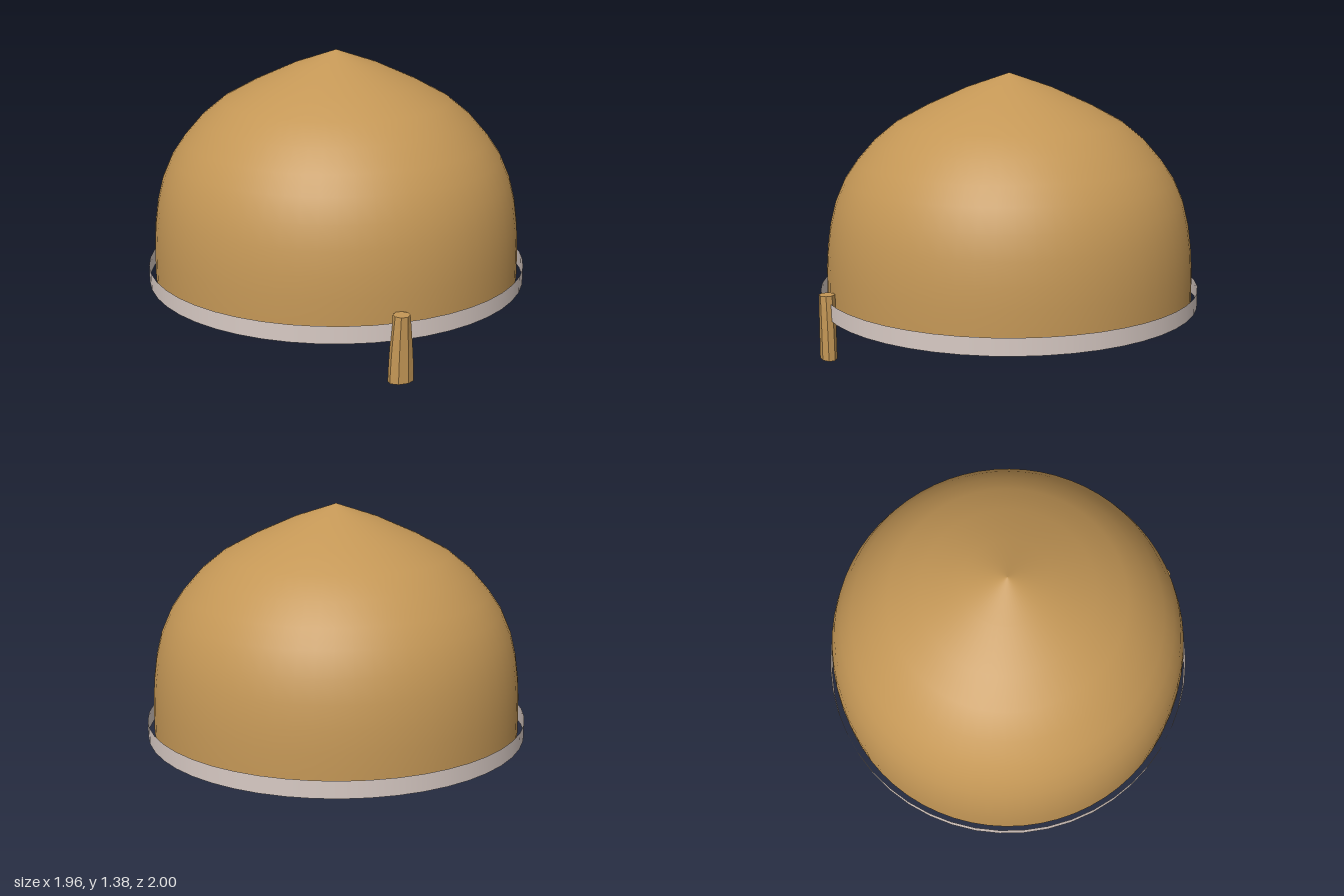
import * as THREE from 'three';

const CENTRE_Z = -0.022;

function addMesh(group, name, geometry, material, x, y, z) {
  const mesh = new THREE.Mesh(geometry, material);
  mesh.name = name;
  mesh.position.set(x, y, z);
  group.add(mesh);
  return mesh;
}

export function createModel() {
  const group = new THREE.Group();
  group.name = 'domedCap';

  const tan = new THREE.MeshStandardMaterial({ color: 0xc49756, side: THREE.DoubleSide });
  const tanFlat = new THREE.MeshStandardMaterial({ color: 0xc49756, flatShading: true });
  const pale = new THREE.MeshStandardMaterial({ color: 0xd8cac4, side: THREE.DoubleSide });

  // Open shell with a pointed crown
  const profile = [
    [0.947, 0.22], [0.947, 0.3], [0.945, 0.4], [0.938, 0.505], [0.922, 0.62],
    [0.893, 0.735], [0.845, 0.845], [0.782, 0.937], [0.692, 1.04],
    [0.582, 1.13], [0.425, 1.215], [0.218, 1.308], [0, 1.382],
  ].map(([r, y]) => new THREE.Vector2(r, y));
  addMesh(group, 'dome', new THREE.LatheGeometry(profile, 64), tan, 0, 0, CENTRE_Z);

  // Thin loose band around the rim
  addMesh(group, 'rimBand', new THREE.CylinderGeometry(0.98, 0.98, 0.086, 48, 1, true),
    pale, 0, 0.242, CENTRE_Z);

  // Eight-sided tab at the front: full at the foot, narrower at the top
  const height = 0.325;
  const tab = new THREE.CylinderGeometry(1, 1, height, 8, 6);
  tab.rotateY(Math.PI / 8);
  const pos = tab.attributes.position;
  const apothem = Math.cos(Math.PI / 8);
  for (let i = 0; i < pos.count; i++) {
    const t = pos.getY(i) / height + 0.5;
    const halfWidth = 0.058 - 0.021 * Math.pow(t, 1.5);
    pos.setX(i, (pos.getX(i) / apothem) * halfWidth);
    pos.setZ(i, (pos.getZ(i) / apothem) * 0.037);
  }
  addMesh(group, 'frontTab', tab, tanFlat, 0, height / 2, 0.963);

  return group;
}
